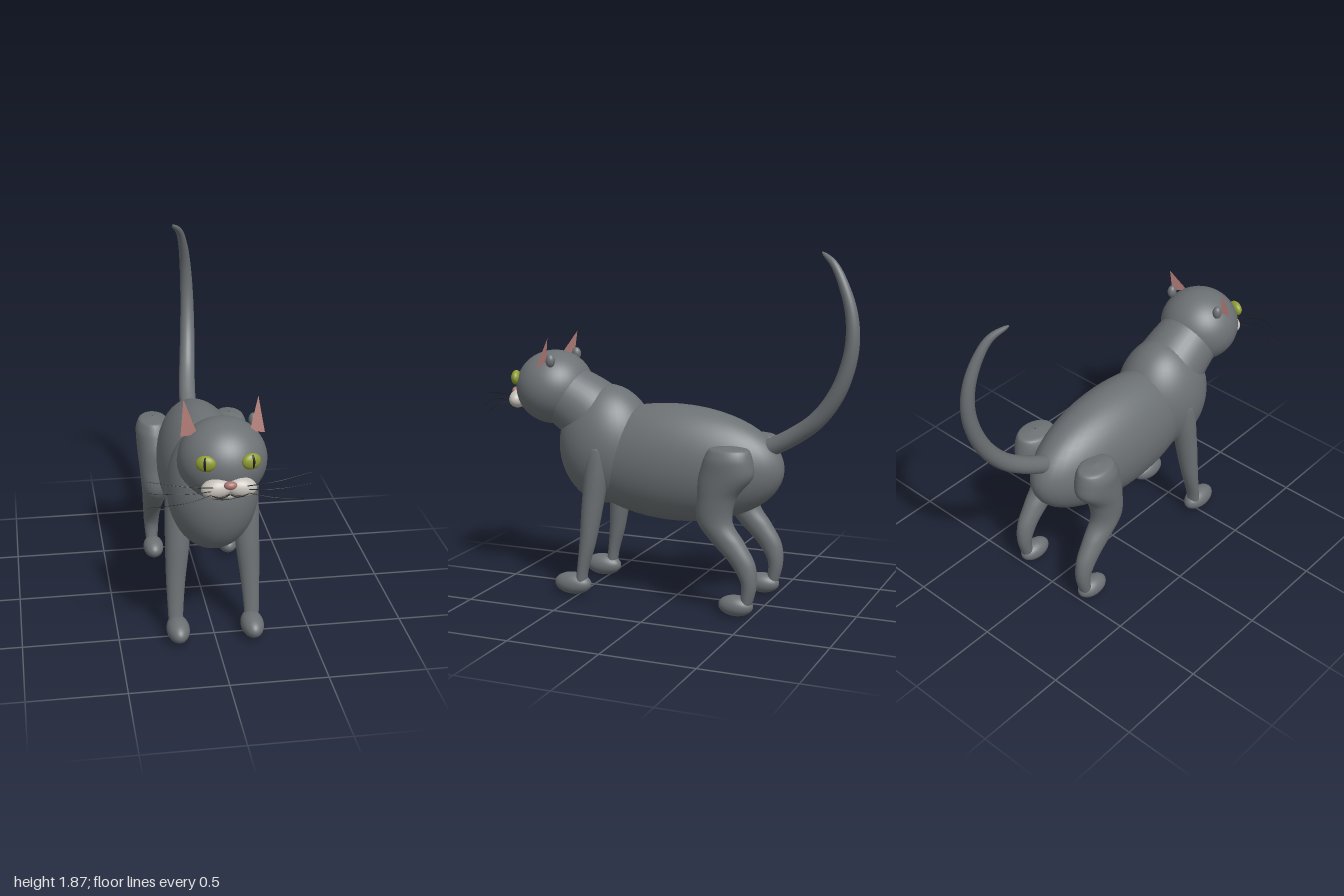
import * as THREE from 'three';
import { ConvexGeometry } from 'three/addons/geometries/ConvexGeometry.js';

const V = (x, y, z) => new THREE.Vector3(x, y, z);
const mat = (color) => new THREE.MeshStandardMaterial({ color });
const fur = mat(0x6c7174), pink = mat(0xa87570), cream = mat(0xc4c0b8);
const green = mat(0x8f9c34), dark = mat(0x1c1c1c);

function add(parent, name, geometry, material) {
  const mesh = new THREE.Mesh(geometry, material);
  mesh.name = name;
  parent.add(mesh);
  return mesh;
}

function ellipsoid(parent, name, material, pos, radii) {
  const mesh = add(parent, name, new THREE.SphereGeometry(1, 40, 28), material);
  mesh.position.set(...pos);
  mesh.scale.set(...radii);
  return mesh;
}

// Smooth vertical loft through elliptical rings [x, y, z, rx, rz], listed top to bottom
function loft(rings, rows = 48, cols = 28) {
  const centres = new THREE.CatmullRomCurve3(rings.map((r) => V(r[0], r[1], r[2])));
  const radii = new THREE.CatmullRomCurve3(rings.map((r) => V(r[3], r[4], 0)));
  const pos = [], index = [];
  for (let i = 0; i <= rows; i++) {
    const c = centres.getPoint(i / rows), r = radii.getPoint(i / rows);
    for (let j = 0; j < cols; j++) {
      const a = (j / cols) * Math.PI * 2;
      pos.push(c.x + r.x * Math.cos(a), c.y, c.z + r.y * Math.sin(a));
      if (i === rows) continue;
      const k = i * cols + j, n = i * cols + ((j + 1) % cols);
      index.push(k, n, k + cols, n, n + cols, k + cols);
    }
  }
  const g = new THREE.BufferGeometry();
  g.setAttribute('position', new THREE.Float32BufferAttribute(pos, 3));
  g.setIndex(index);
  g.computeVertexNormals();
  return g;
}

// Tube whose radius follows radiusAt(t)
function taperedTube(points, radiusAt, segments = 64, sides = 24) {
  const curve = new THREE.CatmullRomCurve3(points);
  const g = new THREE.TubeGeometry(curve, segments, 1, sides);
  const p = g.attributes.position, v = V(0, 0, 0);
  for (let i = 0; i < p.count; i++) {
    const t = Math.floor(i / (sides + 1)) / segments, c = curve.getPointAt(t);
    v.fromBufferAttribute(p, i).sub(c).multiplyScalar(radiusAt(t)).add(c);
    p.setXYZ(i, v.x, v.y, v.z);
  }
  return g;
}

function buildLegs(cat, s, side) {
  add(cat, side + 'FrontLeg', loft([
    [s * 0.17, 0.86, 0.385, 0.003, 0.003],
    [s * 0.175, 0.83, 0.385, 0.06, 0.065],
    [s * 0.177, 0.7, 0.395, 0.067, 0.066],
    [s * 0.183, 0.5, 0.42, 0.063, 0.058],
    [s * 0.195, 0.3, 0.445, 0.05, 0.044],
    [s * 0.2, 0.14, 0.475, 0.04, 0.03],
    [s * 0.2, 0.06, 0.485, 0.038, 0.03],
  ]), fur);
  ellipsoid(cat, side + 'FrontPaw', fur, [s * 0.195, 0.067, 0.535], [0.06, 0.06, 0.106]);

  add(cat, side + 'HindLeg', loft([
    [s * 0.215, 0.9, -0.37, 0.003, 0.003],
    [s * 0.215, 0.885, -0.37, 0.075, 0.105],
    [s * 0.215, 0.83, -0.365, 0.096, 0.13],
    [s * 0.215, 0.75, -0.355, 0.094, 0.145],
    [s * 0.216, 0.63, -0.305, 0.084, 0.105],
    [s * 0.217, 0.5, -0.295, 0.073, 0.095],
    [s * 0.218, 0.4, -0.365, 0.062, 0.09],
    [s * 0.22, 0.29, -0.45, 0.05, 0.067],
    [s * 0.22, 0.19, -0.485, 0.042, 0.042],
    [s * 0.22, 0.1, -0.475, 0.035, 0.034],
    [s * 0.22, 0.05, -0.46, 0.03, 0.03],
  ], 64), fur);
  ellipsoid(cat, side + 'HindPaw', fur, [s * 0.217, 0.062, -0.413], [0.057, 0.055, 0.094]);
}

function buildFaceSide(head, s, side) {
  // Three-sided pointed ear with a small rounded root behind it
  add(head, side + 'Ear', new ConvexGeometry([
    V(s * 0.203, 1.235, 0.735), V(s * 0.125, 1.255, 0.762),
    V(s * 0.172, 1.27, 0.69), V(s * 0.18, 1.4, 0.675),
  ]), pink);
  ellipsoid(head, side + 'EarRoot', fur, [s * 0.158, 1.275, 0.672], [0.024, 0.036, 0.026]);

  // Eye with slit pupil, turned a little outward
  const eye = new THREE.Group();
  eye.name = side + 'Eye';
  eye.position.set(s * 0.108, 1.165, 0.908);
  eye.rotation.y = s * 0.3;
  ellipsoid(eye, side + 'Iris', green, [0, 0, 0], [0.048, 0.04, 0.027]);
  ellipsoid(eye, side + 'Pupil', dark, [0, 0.002, 0.012], [0.01, 0.034, 0.018]);
  head.add(eye);

  const cheek = ellipsoid(head, side + 'Muzzle', cream, [s * 0.058, 1.042, 0.92], [0.075, 0.05, 0.048]);
  cheek.rotation.z = s * -0.1;

  // Whiskers bow forward, then sweep back to their tips
  for (const [root, tip] of [[1.06, 1.11], [1.045, 1.05], [1.03, 0.975]]) {
    add(head, side + 'Whisker', taperedTube([
      V(s * 0.07, root, 0.955), V(s * 0.21, (root + tip) / 2 + 0.008, 0.994), V(s * 0.39, tip, 0.948),
    ], (t) => 0.0025 - 0.0015 * t, 16, 6), dark);
  }

  // Half of the mouth line
  add(head, side + 'Mouth', taperedTube([
    V(0, 1.025, 0.955), V(s * 0.025, 1.013, 0.957), V(s * 0.06, 1.015, 0.963), V(s * 0.085, 1.025, 0.959),
  ], () => 0.004, 16, 8), dark);
}

export function createModel() {
  const cat = new THREE.Group();
  cat.name = 'cat';

  // Trunk
  ellipsoid(cat, 'torso', fur, [0, 0.745, 0.01], [0.23, 0.316, 0.605]);
  ellipsoid(cat, 'chest', fur, [0, 0.815, 0.41], [0.236, 0.328, 0.268]);
  add(cat, 'neck', taperedTube([V(0, 0.92, 0.42), V(0, 1.0, 0.53), V(0, 1.08, 0.67)],
    (t) => 0.2 - 0.03 * t, 24, 36), fur);

  // Tail rising in a curl, leaning to one side
  add(cat, 'tail', taperedTube([
    V(0.005, 0.84, -0.47), V(0.015, 0.93, -0.64), V(0.035, 1.04, -0.785), V(0.052, 1.2, -0.895),
    V(0.058, 1.4, -0.955), V(0.05, 1.57, -0.95), V(0.03, 1.72, -0.9), V(0, 1.82, -0.84), V(-0.05, 1.874, -0.765),
  ], (t) => 0.004 + 0.044 * Math.sqrt(1 - t ** 2.2) * (1 - 0.15 * t)), fur);

  // Head
  const head = new THREE.Group();
  head.name = 'head';
  cat.add(head);
  ellipsoid(head, 'skull', fur, [0, 1.11, 0.725], [0.216, 0.202, 0.212]);
  ellipsoid(head, 'nose', pink, [0, 1.075, 0.968], [0.031, 0.02, 0.022]);
  ellipsoid(head, 'chin', cream, [0, 1.01, 0.915], [0.045, 0.025, 0.035]);

  for (const [s, side] of [[1, 'left'], [-1, 'right']]) {
    buildLegs(cat, s, side);
    buildFaceSide(head, s, side);
  }
  return cat;
}
